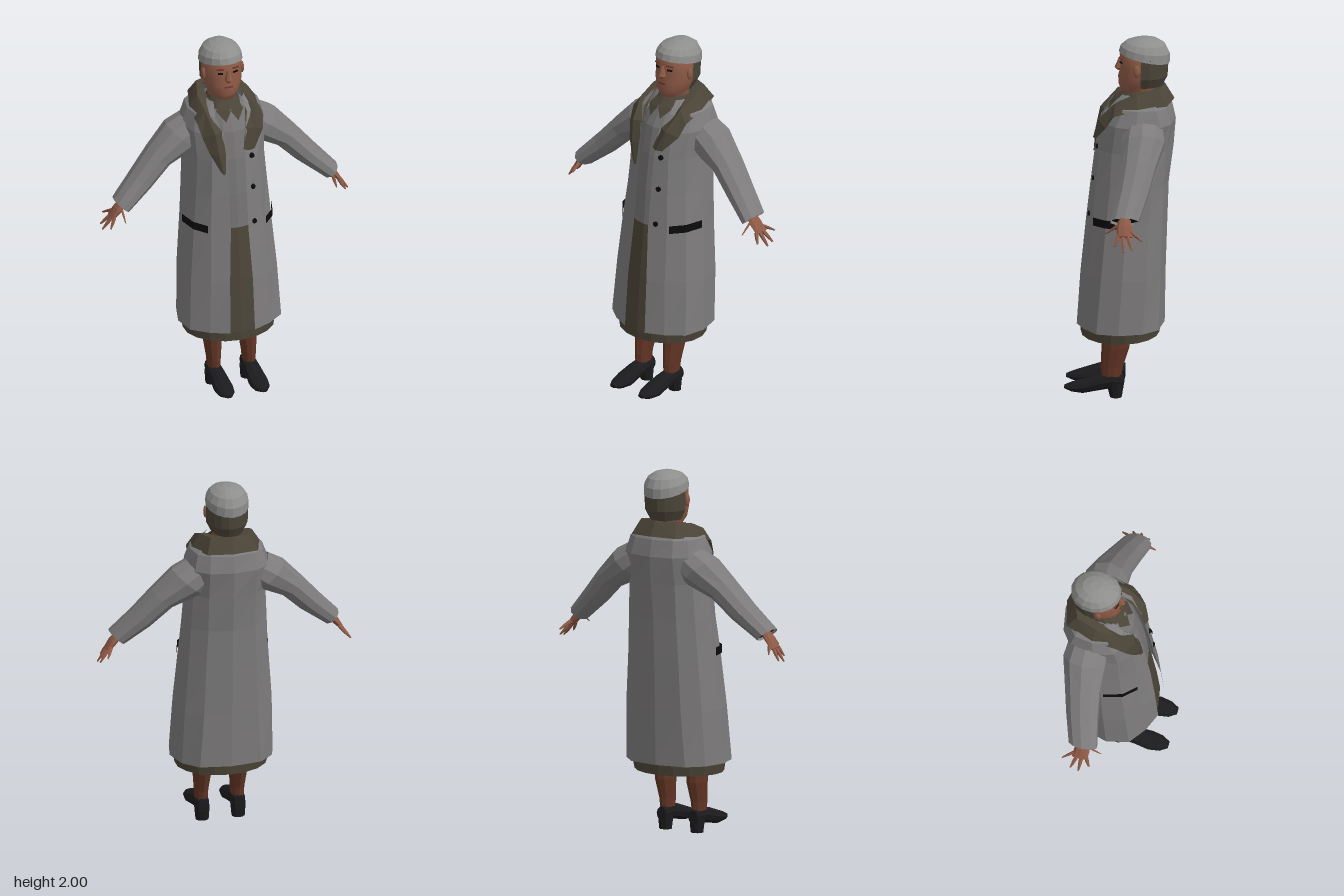
import * as THREE from 'three';

const mat = (name, color, side = THREE.DoubleSide) => {
  const m = new THREE.MeshStandardMaterial({ color, side });
  m.name = name;
  return m;
};

// Skin over a row of cross-sections; every section has the same number of points.
function loft(rings, { closed = true, start = false, end = false, smooth = false } = {}) {
  const n = rings[0].length, pos = rings.flat(2), index = [];
  for (let i = 0; i < rings.length - 1; i++) {
    for (let j = 0; j < (closed ? n : n - 1); j++) {
      const k = (j + 1) % n;
      const a = i * n + j, b = i * n + k, c = a + n, d = b + n;
      index.push(a, b, d, a, d, c);
    }
  }
  const last = (rings.length - 1) * n;
  for (let j = 1; j < n - 1; j++) {
    if (start) index.push(0, j + 1, j);
    if (end) index.push(last, last + j, last + j + 1);
  }
  let g = new THREE.BufferGeometry();
  g.setAttribute('position', new THREE.Float32BufferAttribute(pos, 3));
  g.setIndex(index);
  if (!smooth) g = g.toNonIndexed();
  g.computeVertexNormals();
  return g;
}

// Mirror a faceted geometry across x = 0 and keep its faces outward.
function mirrored(geo) {
  const g = geo.index ? geo.toNonIndexed() : geo.clone();
  const p = g.attributes.position;
  const v = [0, 1, 2].map(() => new THREE.Vector3());
  for (let i = 0; i < p.count; i += 3) {
    v.forEach((q, k) => q.fromBufferAttribute(p, i + k));
    [0, 2, 1].forEach((s, k) => p.setXYZ(i + k, -v[s].x, v[s].y, v[s].z));
  }
  g.computeVertexNormals();
  return g;
}

// Horizontal oval: height, half width, front z, back z, tilt of the front, arc range.
function oval([y, rx, zf, zb, lift = 0], n = 16, from = 0, to = Math.PI * 2) {
  const full = to - from > 6.2, out = [];
  for (let i = 0; i < n; i++) {
    const t = from + (to - from) * i / (full ? n : n - 1);
    out.push([rx * Math.sin(t), y + lift * Math.cos(t), (zf + zb) / 2 + (zf - zb) / 2 * Math.cos(t)]);
  }
  return out;
}

// Oval across the sloping arm: centre, thickness, depth along z.
function armRing([x, y, z, rn, rz], n = 10) {
  return Array.from({ length: n }, (_, i) => {
    const t = i / n * Math.PI * 2, c = Math.cos(t) * rn;
    return [x + 0.755 * c, y + 0.656 * c, z + Math.sin(t) * rz];
  });
}

export function createModel() {
  const model = new THREE.Group();
  model.name = 'womanInCoat';
  const coat = mat('coat grey', 0x7d7b7b);
  const blouse = mat('blouse grey', 0x757374);
  const hair = mat('hair grey', 0x8e8e8d);
  const brown = mat('dark brown cloth', 0x4b4538);
  const skin = mat('skin', 0x8e5a46);
  const lips = mat('lips', 0x6c382e);
  const stocking = mat('stockings', 0x623524);
  const shoe = mat('shoe black', 0x1b1b1d);
  const black = mat('black', 0x0c0c0c);

  const add = (name, geo, material) => {
    const mesh = new THREE.Mesh(geo, material);
    mesh.name = name;
    model.add(mesh);
    return mesh;
  };
  const pair = (name, geo, material) => {
    add(name + 'Left', geo, material);
    add(name + 'Right', mirrored(geo), material);
  };

  // Open coat: half sections run from the front edge round to the middle of the back
  const coatRows = [
    [0.40, [[.07, .235], [.17, .19], [.26, .12], [.285, 0], [.25, -.13], [.17, -.21], [0, -.235]]],
    [0.70, [[.065, .215], [.16, .175], [.245, .095], [.275, -.02], [.24, -.15], [.15, -.22], [0, -.24]]],
    [1.00, [[.05, .185], [.15, .145], [.22, .07], [.25, -.04], [.22, -.16], [.14, -.23], [0, -.25]]],
    [1.20, [[.05, .162], [.14, .13], [.2, .05], [.235, -.05], [.21, -.17], [.13, -.235], [0, -.257]]],
    [1.40, [[.05, .137], [.13, .11], [.19, .04], [.22, -.06], [.2, -.18], [.13, -.25], [0, -.283]]],
    [1.55, [[.06, .11], [.13, .08], [.2, .02], [.235, -.09], [.2, -.22], [.13, -.275], [0, -.295]]],
    [1.64, [[.09, .05], [.14, .03], [.18, -.02], [.2, -.1], [.18, -.2], [.12, -.25], [0, -.275]]],
    [1.70, [[.08, -.01], [.095, -.03], [.105, -.06], [.11, -.11], [.1, -.17], [.07, -.21], [0, -.23]]],
  ];
  add('coatBody', loft(coatRows.map(([y, half]) => [
    ...half.map(([x, z]) => [x, y, z]),
    ...half.slice(0, -1).reverse().map(([x, z]) => [-x, y, z]),
  ]), { closed: false }), coat);

  // Sleeves with dark cuffs inside
  pair('sleeve', loft([
    [.15, 1.52, -.13, .1, .11], [.225, 1.47, -.13, .11, .122], [.36, 1.375, -.11, .075, .1],
    [.47, 1.26, -.085, .067, .09], [.595, 1.145, -.05, .052, .08],
  ].map(r => armRing(r))), coat);
  pair('cuffLining', loft([
    [.55, 1.19, -.06, .05, .076], [.585, 1.155, -.052, .048, .075],
  ].map(r => armRing(r)), { end: true }), black);

  // Hands with spread fingers
  pair('palm', loft([
    [.575, 1.165, -.05, .022, .03], [.615, 1.12, -.05, .021, .042], [.65, 1.077, -.055, .012, .043],
  ].map(r => armRing(r, 8)), { start: true, end: true }), skin);
  const fingers = [
    ['thumb', [.60, 1.135, -.025], [.602, 1.08, .05]],
    ['indexFinger', [.64, 1.085, -.022], [.67, 1.03, 0]],
    ['middleFinger', [.645, 1.08, -.045], [.70, 1.01, -.05]],
    ['ringFinger', [.645, 1.08, -.07], [.695, 1.02, -.095]],
    ['littleFinger', [.63, 1.10, -.085], [.665, 1.06, -.147]],
  ];
  for (const [name, a, b] of fingers) {
    const mid = a.map((v, i) => (v + b[i]) / 2);
    pair(name, loft([[...a, .011, .013], [...mid, .01, .011], [...b, .004, .005]]
      .map(r => armRing(r, 6)), { start: true, end: true }), skin);
  }

  // Skirt, its dark inside and the blouse
  const skirtRows = [[.34, .252, .217, -.207], [.39, .262, .218, -.212], [.7, .23, .193, -.215], [1, .2, .16, -.22]];
  add('skirt', loft(skirtRows.map(r => oval(r, 18))), brown);
  add('skirtLining', loft([[.342, .246, .211, -.201], [.6, .225, .19, -.2]].map(r => oval(r, 18)), { end: true }), black);
  add('blouse', loft([
    [1, .2, .16, -.22], [1.2, .19, .145, -.22], [1.4, .17, .118, -.24],
    [1.55, .16, .085, -.25], [1.64, .12, .035, -.22], [1.7, .075, -.02, -.19],
  ].map(r => oval(r, 18)), { start: true }), blouse);
  add('neckBand', loft([[1.655, .1, .03, -.21], [1.705, .078, -.015, -.195]].map(r => oval(r)), {}), brown);
  pair('blouseCollar', loft([
    [[0, 1.655, .045], [.035, 1.605, .07]], [[.045, 1.7, -.012], [.078, 1.655, .025]],
  ], { closed: false }), brown);

  // Broad coat collar: inner edge, roll, outer edge; the right lapel hangs lower
  const collar = [
    [[0, 1.73, -.2], [0, 1.74, -.24], [0, 1.66, -.288]],
    [[.085, 1.73, -.17], [.11, 1.735, -.205], [.14, 1.655, -.255]],
    [[.1, 1.71, -.08], [.145, 1.715, -.09], [.19, 1.645, -.1]],
    [[.095, 1.66, 0], [.14, 1.67, .025], [.187, 1.605, .03]],
    [[.065, 1.57, .095], [.115, 1.57, .118], [.172, 1.535, .075]],
  ];
  const lapelLeft = [[[.04, 1.46, .135], [.07, 1.455, .147], [.105, 1.455, .132]]];
  const lapelRight = [
    [[.06, 1.45, .132], [.1, 1.45, .143], [.143, 1.45, .112]],
    [[.065, 1.335, .148], [.075, 1.33, .152], [.09, 1.345, .146]],
  ];
  add('collarLeft', loft([...collar, ...lapelLeft], { closed: false }), brown);
  add('collarRight', mirrored(loft([...collar, ...lapelRight], { closed: false })), brown);

  // Pocket flaps and buttons
  pair('pocket', loft([0.985, 1.03].map(y =>
    [[.165, y, .143], [.226, y + .003, .075], [.253, y + .005, -.025]]), { closed: false }), black);
  for (const [y, z] of [[1.41, .126], [1.23, .146], [1.03, .168]]) {
    const button = add('button', new THREE.CylinderGeometry(.014, .014, .012, 10), black);
    button.position.set(.09, y, z);
    button.rotation.x = Math.PI / 2;
  }

  // Head, ears and face
  add('head', loft([
    [1.62, .065, -.03, -.17], [1.69, .07, -.03, -.18], [1.705, .06, 0, -.18], [1.74, .086, .014, -.19],
    [1.79, .103, .012, -.2], [1.85, .108, .004, -.21], [1.91, .106, .005, -.21], [1.96, .07, -.03, -.18],
  ].map(r => oval(r, 20)), { end: true, smooth: true }), skin);
  add('nose', loft([
    [1.815, .016, .02, -.03], [1.83, .021, .035, -.03], [1.885, .009, .012, -.03],
  ].map(r => oval(r, 8)), { start: true, end: true }), skin);
  add('mouth', new THREE.BoxGeometry(.046, .008, .009), lips).position.set(0, 1.785, .01);
  for (const s of [-1, 1]) {
    const ear = add('ear', new THREE.SphereGeometry(1, 8, 6), skin);
    ear.scale.set(.012, .035, .02);
    ear.position.set(s * .11, 1.84, -.09);
    const eye = add('eye', new THREE.BoxGeometry(.028, .008, .008), black);
    eye.position.set(s * .042, 1.868, -.002);
    eye.rotation.y = s * .35;
    const brow = add('eyebrow', new THREE.BoxGeometry(.04, .007, .008), lips);
    brow.position.set(s * .044, 1.892, -.002);
    brow.rotation.set(0, s * .38, -s * .1);
  }

  // Short grey hair with a darker nape
  add('hair', loft([
    [1.892, .117, .012, -.262, .03], [1.935, .113, .002, -.263, .02], [1.97, .092, -.025, -.24, .008],
    [1.99, .058, -.06, -.2], [2, .022, -.1, -.16],
  ].map(r => oval(r, 16)), { end: true }), hair);
  add('napeHair', loft([
    [1.735, .085, -.01, -.225], [1.79, .112, .015, -.252], [1.9, .115, .012, -.259],
  ].map(r => oval(r, 10, Math.PI * .48, Math.PI * 1.52)), { closed: false }), brown);

  // Legs and heeled shoes
  const shift = g => g.translate(.1, 0, 0);
  pair('leg', shift(loft([
    [.1, .034, .1, -.005], [.17, .038, .105, -.015], [.28, .05, .1, -.05], [.45, .053, .1, -.06],
  ].map(r => oval(r, 10)))), stocking);
  const shoeRows = [
    [-.018, .03, .05, .125], [.04, .043, .05, .14], [.12, .047, .035, .125],
    [.2, .055, .02, .098], [.26, .045, .027, .078], [.3, .02, .043, .062],
  ];
  pair('shoe', shift(loft(shoeRows.map(([z, hw, y0, y1]) => Array.from({ length: 10 }, (_, i) => {
    const t = i / 10 * Math.PI * 2;
    return [hw * Math.cos(t), (y0 + y1) / 2 + (y1 - y0) / 2 * Math.sin(t), z];
  })), { start: true, end: true })), shoe);
  pair('heel', shift(loft([
    [0, .036, .055, -.01], [.08, .042, .075, -.02],
  ].map(r => oval(r, 10)), { start: true, end: true })), shoe);

  return model;
}
